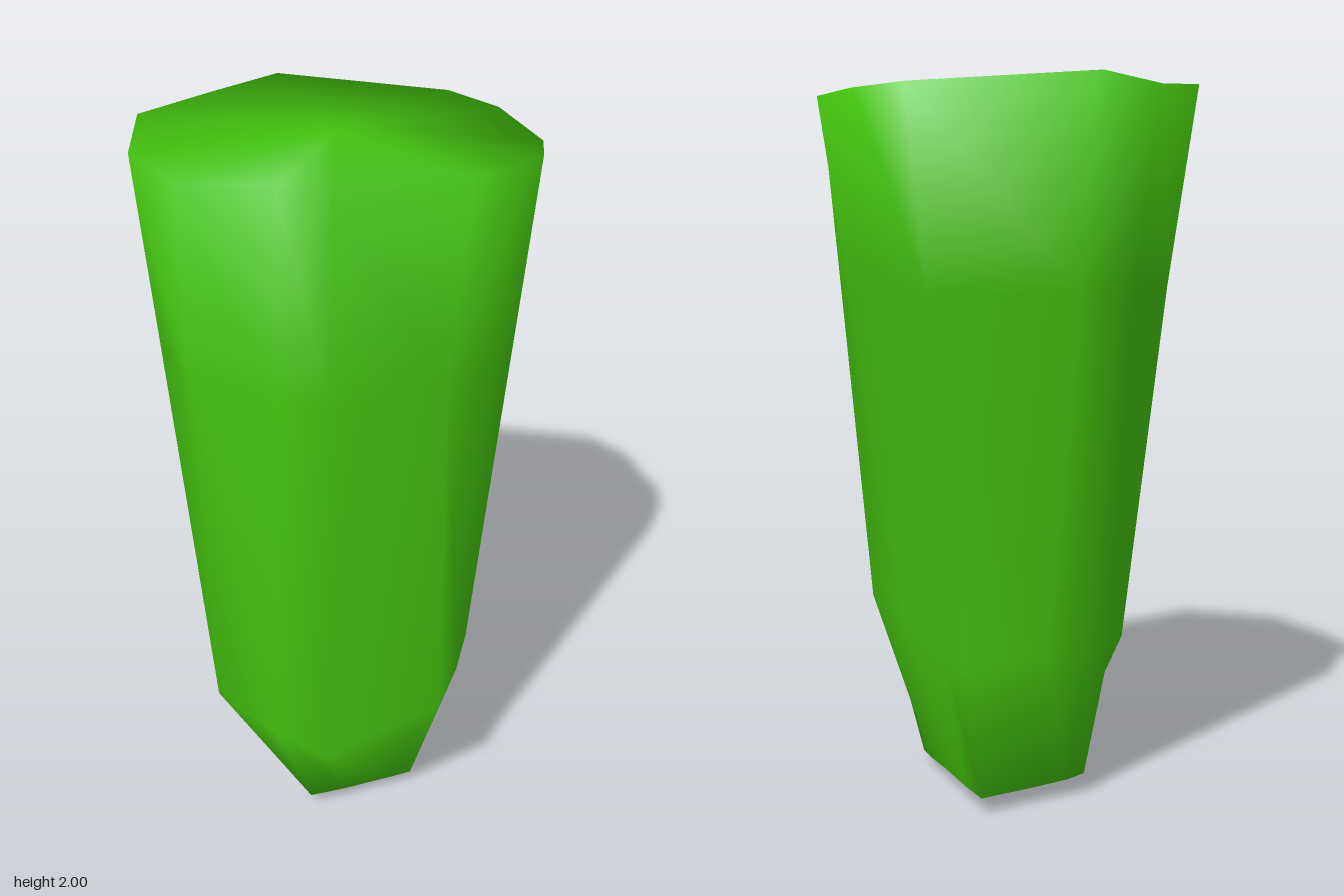
import * as THREE from 'three';

// Cross-sections with matching corners, clockwise seen from above.
// Uneven rim
const RIM = [
  [-0.245, 1.98, -0.48], [0.23, 1.955, -0.487], [0.375, 1.95, -0.38], [0.505, 1.955, -0.115],
  [0.512, 1.96, 0], [0.465, 1.995, 0.19], [0.37, 1.99, 0.27], [0.07, 2, 0.467],
  [-0.065, 2, 0.435], [-0.31, 1.975, 0.385], [-0.49, 1.95, 0.135], [-0.515, 1.99, -0.04],
  [-0.395, 1.96, -0.355],
];

// Low shoulder, where the front and sides turn in toward the foot
const SHOULDER = [
  [-0.115, 0.45, -0.22], [0.1, 0.45, -0.29], [0.17, 0.45, -0.2], [0.3, 0.5, -0.05],
  [0.4, 0.54, 0.09], [0.385, 0.5, 0.2], [0.35, 0.45, 0.3], [0.06, 0.38, 0.485],
  [-0.08, 0.4, 0.45], [-0.27, 0.46, 0.37], [-0.335, 0.4, 0.17], [-0.295, 0.45, -0.05],
  [-0.23, 0.45, -0.146],
];

// Small four-cornered foot
const FOOT = [
  [-0.08, 0.05, -0.15], [0.065, 0.05, -0.237], [0.115, 0.05, -0.15], [0.185, 0.045, 0],
  [0.235, 0.04, 0.1], [0.26, 0.04, 0.155], [0.2, 0.04, 0.19], [0.07, 0.04, 0.262],
  [-0.02, 0.04, 0.305], [-0.1, 0.045, 0.157], [-0.16, 0.05, 0.05], [-0.22, 0.06, -0.065],
  [-0.175, 0.055, -0.1],
];

// Waist between rim and shoulder, hollowed along the front
function makeWaist(height) {
  return RIM.map(([x, y, z], i) => {
    const [sx, sy, sz] = SHOULDER[i];
    const t = (y - height) / (y - sy);
    const pinch = i >= 6 && i <= 8 ? 0.9 : 1;
    return [(x + (sx - x) * t) * pinch, height, (z + (sz - z) * t) * pinch];
  });
}

function taperedBlock() {
  const rings = [RIM, makeWaist(1.45), SHOULDER, FOOT];
  const n = RIM.length;
  const pos = rings.flat(2);
  const index = [];

  // Middle of the top and the lowest point of the foot
  const top = pos.length / 3;
  const bottom = top + 1;
  pos.push(0, 1.995, 0, 0.13, 0, 0.11);

  // Walls and both ends share vertices so the shading stays smooth
  const last = (rings.length - 1) * n;
  for (let i = 0; i < n; i++) {
    const j = (i + 1) % n;
    for (let a = 0; a < last; a += n) {
      const b = a + n;
      index.push(a + j, b + j, b + i, a + j, b + i, a + i);
    }
    index.push(top, j, i);
    index.push(bottom, last + i, last + j);
  }

  const geometry = new THREE.BufferGeometry();
  geometry.setAttribute('position', new THREE.Float32BufferAttribute(pos, 3));
  geometry.setIndex(index);
  geometry.computeVertexNormals();
  return geometry;
}

export function createModel() {
  const green = new THREE.MeshStandardMaterial({ color: 0x44c40f });
  green.name = 'green';
  const block = new THREE.Mesh(taperedBlock(), green);
  block.name = 'taperedBlock';
  const model = new THREE.Group();
  model.name = 'model';
  model.add(block);
  return model;
}
